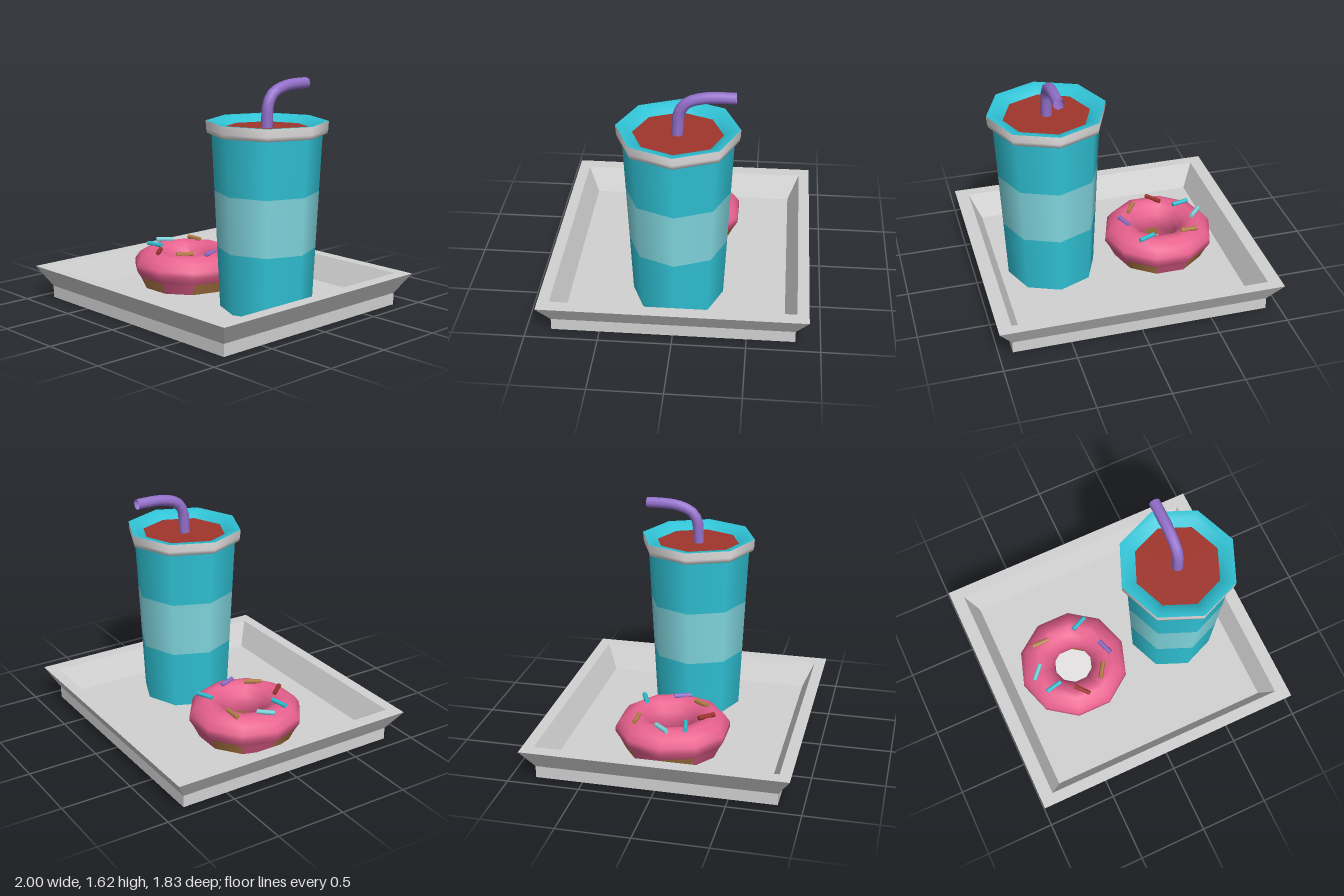
import * as THREE from 'three';

const mat = (name, color) => {
  const m = new THREE.MeshStandardMaterial({ color });
  m.name = name;
  return m;
};

export function createModel() {
  const grey = mat('trayGrey', 0xd2d2d2);
  const white = mat('lidWhite', 0xf0eded);
  const teal = mat('cupTeal', 0x30c3d6);
  const paleTeal = mat('bandPaleTeal', 0x83d9e2);
  const red = mat('drinkRed', 0xa0352c);
  const purple = mat('strawPurple', 0x9470cc);
  const pink = mat('icingPink', 0xee6492);
  const tan = mat('doughTan', 0xb98049);
  purple.side = THREE.DoubleSide;

  const root = new THREE.Group();
  const add = (parent, name, geometry, material) => {
    const mesh = new THREE.Mesh(geometry, material);
    mesh.name = name;
    parent.add(mesh);
    return mesh;
  };
  const group = (name, x) => {
    const g = new THREE.Group();
    g.name = name;
    g.position.x = x;
    root.add(g);
    return g;
  };
  const lathe = (points, segments, startDeg = 0, sweepDeg = 360) =>
    new THREE.LatheGeometry(points.map(([r, y]) => new THREE.Vector2(r, y)), segments,
      THREE.MathUtils.degToRad(startDeg), THREE.MathUtils.degToRad(sweepDeg));

  // Tray: rectangular loops [half width, half depth, height] from base, over the rim, to the floor
  const loops = [[0, 0, 0], [0.905, 0.83, 0], [0.905, 0.83, 0.085], [1, 0.915, 0.23],
    [0.905, 0.835, 0.23], [0.825, 0.755, 0.055], [0, 0, 0.055]];
  const signs = [[1, 1], [1, -1], [-1, -1], [-1, 1]];
  const corner = ([w, d, y], i) => [w * signs[i % 4][0], y, d * signs[i % 4][1]];
  const verts = [];
  for (let k = 0; k < loops.length - 1; k++) {
    for (let i = 0; i < 4; i++) {
      const a = corner(loops[k], i), b = corner(loops[k], i + 1);
      const c = corner(loops[k + 1], i + 1), d = corner(loops[k + 1], i);
      if (k > 0) verts.push(...a, ...b, ...c);
      if (k < loops.length - 2) verts.push(...a, ...c, ...d);
    }
  }
  // The base loop starts at a point, so its fan is the second triangle of each quad
  const trayGeo = new THREE.BufferGeometry();
  trayGeo.setAttribute('position', new THREE.Float32BufferAttribute(verts, 3));
  trayGeo.computeVertexNormals();
  add(root, 'tray', trayGeo, grey);

  // Cup: eight-sided tapered body in three colour zones
  const cup = group('cup', 0.447);
  const radiusAt = (y) => 0.325 + (y - 0.23) * 0.048;
  const zone = (y0, y1) => lathe([[radiusAt(y0), y0], [radiusAt(y1), y1]], 8);
  add(cup, 'cupLower', zone(0.057, 0.48), teal);
  add(cup, 'cupBand', zone(0.48, 0.875), paleTeal);
  add(cup, 'cupUpper', zone(0.875, 1.3), teal);
  add(cup, 'lidBand', lathe([[0.37, 1.27], [0.405, 1.27], [0.412, 1.3], [0.415, 1.355]], 8), white);
  add(cup, 'cupRim', lathe([[0.415, 1.355], [0.36, 1.35], [0.3, 1.305]], 8), teal);
  add(cup, 'drink', lathe([[0.305, 1.308], [0, 1.308]], 8), red);

  // Bent straw
  const path = new THREE.CatmullRomCurve3([[1.3, 0.003], [1.38, 0], [1.47, -0.01], [1.535, -0.055],
    [1.572, -0.15], [1.582, -0.24], [1.582, -0.38]].map(([y, z]) => new THREE.Vector3(0, y, z)));
  add(cup, 'straw', new THREE.TubeGeometry(path, 12, 0.04, 8), purple);

  // Donut: ten-sided icing over dough, with drips on every other side
  const donut = group('donut', -0.365);
  add(donut, 'icing', lathe([[0.37, 0.14], [0.403, 0.195], [0.4, 0.235], [0.365, 0.285], [0.305, 0.322],
    [0.26, 0.33], [0.2, 0.305], [0.155, 0.25], [0.14, 0.19], [0.15, 0.14]], 10, 18), pink);
  for (let k = 0; k < 5; k++) {
    for (const [name, start, material] of [['icingDrip', 18, pink], ['dough', 54, tan]]) {
      add(donut, name + 'Outer', lathe([[0.33, 0.057], [0.37, 0.14]], 1, start + 72 * k, 36), material);
      add(donut, name + 'Inner', lathe([[0.15, 0.14], [0.17, 0.057]], 1, start + 72 * k, 36), material);
    }
  }
  // Pale disc under the donut hole
  add(donut, 'holeDisc', lathe([[0.2, 0.06], [0, 0.06]], 10, 18), white);

  // Sprinkles: centre x, centre z, direction x, direction z, height, material
  const sprinkles = [
    [-0.535, -0.215, 0.13, 0, 0.335, tan], [-0.21, -0.235, 0.12, -0.05, 0.335, teal],
    [-0.645, -0.015, 0.09, -0.1, 0.338, paleTeal], [-0.58, 0.138, 0.125, -0.025, 0.338, teal],
    [-0.4, 0.247, 0.09, 0.105, 0.335, red], [-0.205, 0.17, 0.07, -0.11, 0.335, tan],
    [-0.11, 0.013, 0.045, 0.125, 0.332, purple],
  ];
  const up = new THREE.Vector3(0, 1, 0);
  for (const [x, z, dx, dz, y, material] of sprinkles) {
    const s = add(donut, 'sprinkle', new THREE.CylinderGeometry(0.017, 0.017, 0.125, 6), material);
    s.position.set(x + 0.365, y, z);
    s.quaternion.setFromUnitVectors(up, new THREE.Vector3(dx, 0, dz).normalize());
  }
  return root;
}
